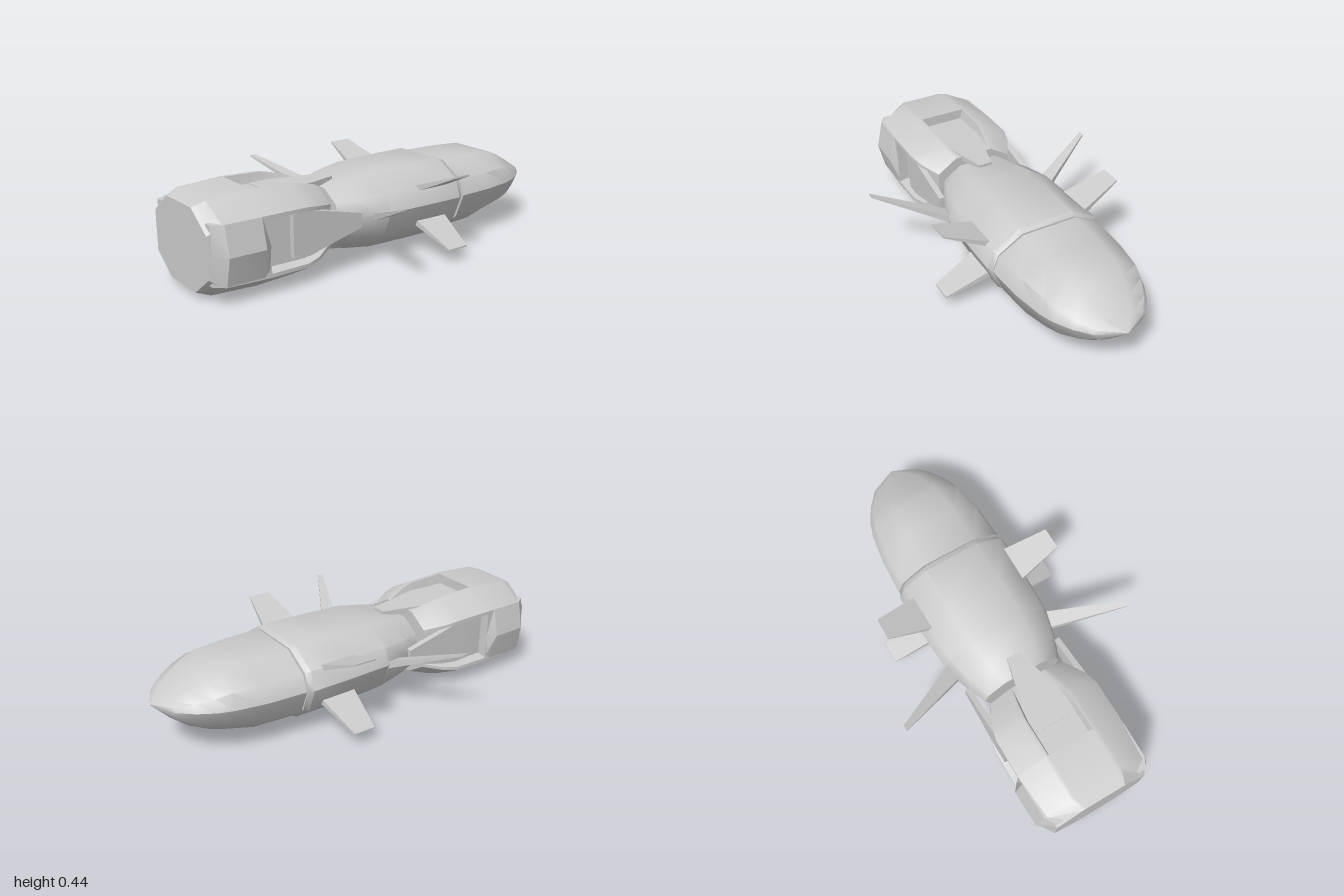
import * as THREE from 'three';
import { toCreasedNormals } from 'three/addons/utils/BufferGeometryUtils.js';

const material = new THREE.MeshStandardMaterial({ color: 0xcccccc });

// Closed solid through a list of rings (arrays of Vector3), turned to face outwards
function loft(rings, crease = 0.7) {
  const tris = [];
  const add = (a, b, c) => {
    const area = b.clone().sub(a).cross(c.clone().sub(a)).length();
    if (area > 1e-7) tris.push([a, b, c]);
  };
  const n = rings[0].length;
  for (let r = 0; r < rings.length - 1; r++) {
    for (let i = 0; i < n; i++) {
      const j = (i + 1) % n, p = rings[r], q = rings[r + 1];
      add(p[i], p[j], q[j]);
      add(p[i], q[j], q[i]);
    }
  }
  const cap = (ring, flip) => {
    const mid = ring.reduce((s, p) => s.add(p), new THREE.Vector3()).divideScalar(n);
    ring.forEach((p, i) => {
      const q = ring[(i + 1) % n];
      flip ? add(mid, q, p) : add(mid, p, q);
    });
  };
  cap(rings[0], true);
  cap(rings[rings.length - 1], false);
  const volume = tris.reduce((s, [a, b, c]) => s + a.dot(b.clone().cross(c)), 0);
  if (volume < 0) tris.forEach((t) => t.reverse());
  const geo = new THREE.BufferGeometry().setFromPoints(tris.flat());
  return toCreasedNormals(geo, crease);
}

const v = (x, y, z) => new THREE.Vector3(x, y, z);

// Faceted fuselage section with a side chine
const CHINE = [[0.47, 1], [0.9, 0.52], [1, 0], [0.83, -0.6], [0.45, -1]];
function bodyRing([z, hx, top, bottom, mid = 0.245]) {
  const half = CHINE.map(([fx, fy]) =>
    v(fx * hx, mid + (fy > 0 ? fy * (top - mid) : fy * (mid - bottom)), z));
  return [...half, ...half.map((p) => v(-p.x, p.y, z)).reverse()];
}

// Octagonal booster section whose four flat sides can be sunk by a depth
const AXIS_Y = 0.22;
function boosterRing([z, hx, hy, cx, cy, depth]) {
  const ring = [];
  for (let k = 0; k < 4; k++) {
    const [h, c] = k % 2 ? [hx, cy] : [hy, cx];
    const p = c * 0.87;
    for (const [u, w] of [[c, h], [p, h], [p * 0.9, h - depth], [-p * 0.9, h - depth], [-p, h], [-c, h]]) {
      const q = v(u, w, z).applyAxisAngle(v(0, 0, 1), k * Math.PI / 2);
      ring.push(q.setY(q.y + AXIS_Y));
    }
  }
  return ring;
}

// Tapered fin between a root and a tip chord: [x, y, zFront, zBack, halfThickness]
function fin(root, tip, side) {
  const quad = ([x, y, z0, z1, t]) =>
    [v(x, y + t, z0), v(x, y - t, z0), v(x, y - t, z1), v(x, y + t, z1)]
      .map((p) => p.setX(p.x * side));
  return loft([quad(root), quad(tip)], 0.3);
}

export function createModel() {
  const group = new THREE.Group();
  const add = (name, geo) => {
    const mesh = new THREE.Mesh(geo, material);
    mesh.name = name;
    group.add(mesh);
  };

  // Nose cone, narrowing to a point
  add('nose', loft([
    [-0.38, 0.292, 0.395, 0.045],
    [-0.57, 0.283, 0.392, 0.05],
    [-0.72, 0.258, 0.385, 0.085],
    [-0.79, 0.235, 0.355, 0.105],
    [-0.87, 0.19, 0.315, 0.14],
    [-0.94, 0.13, 0.278, 0.19],
    [-1.0, 0.003, 0.248, 0.242],
  ].map(bodyRing)));

  // Recessed joint behind the nose
  add('noseJoint', loft([
    [-0.34, 0.27, 0.375, 0.065],
    [-0.4, 0.27, 0.375, 0.065],
  ].map(bodyRing)));

  // Middle body, tapering towards the booster
  add('midBody', loft([
    [0.32, 0.205, 0.365, 0.07],
    [0.22, 0.25, 0.382, 0.055],
    [0.08, 0.288, 0.402, 0.038],
    [-0.14, 0.298, 0.407, 0.035],
    [-0.345, 0.302, 0.408, 0.035],
    [-0.37, 0.288, 0.395, 0.045],
  ].map(bodyRing)));

  // Booster with a pocket sunk into each flat side
  add('booster', loft([
    [1.0, 0.233, 0.188, 0.11, 0.095, 0],
    [0.94, 0.262, 0.21, 0.13, 0.135, 0],
    [0.72, 0.272, 0.22, 0.135, 0.14, 0],
    [0.719, 0.272, 0.22, 0.135, 0.14, 0.05],
    [0.53, 0.272, 0.212, 0.135, 0.138, 0.042],
    [0.46, 0.255, 0.197, 0.125, 0.125, 0.025],
    [0.36, 0.2, 0.165, 0.1, 0.1, 0],
  ].map(boosterRing), 0.6));

  // Tapered tongues reaching from the pockets over the middle body
  const tongue = new THREE.Shape([[0.1, 0.6], [0.105, 0.52], [0.035, 0.23],
    [-0.035, 0.23], [-0.105, 0.52], [-0.1, 0.6]].map(([x, y]) => new THREE.Vector2(x, y)));
  for (let k = 0; k < 4; k++) {
    const geo = new THREE.ExtrudeGeometry(tongue, { depth: 0.028, bevelEnabled: false });
    geo.rotateX(Math.PI / 2);
    geo.translate(0, k % 2 ? 0.262 : 0.174, 0);
    geo.rotateZ(k * Math.PI / 2);
    geo.translate(0, AXIS_Y + (k % 2 ? 0.015 : 0), 0);
    add('tongue', geo);
  }

  for (const side of [1, -1]) {
    // Ridged pod on the flank of the booster
    const pod = (z, ridge, edge) => [v(0.2, 0.36, z), v(edge, 0.36, z), v(ridge, 0.225, z),
      v(edge, 0.09, z), v(0.2, 0.09, z)].map((p) => p.setX(p.x * side));
    add('sidePod', loft([pod(0.985, 0.245, 0.235), pod(0.935, 0.3, 0.268),
      pod(0.76, 0.305, 0.272), pod(0.72, 0.272, 0.262)], 0.3));

    // Swept rear fins and the upper and lower front fins
    add('rearFin', fin([0.26, 0.235, 0.07, 0.16, 0.018], [0.6, 0.374, 0.26, 0.29, 0.004], side));
    add('upperFrontFin', fin([0.24, 0.317, -0.285, -0.1, 0.016], [0.465, 0.41, -0.24, -0.13, 0.004], side));
    add('lowerFrontFin', fin([0.24, 0.16, -0.285, -0.1, 0.016], [0.465, 0.064, -0.24, -0.13, 0.004], side));
  }

  // Slight yaw of the whole craft
  group.rotation.y = -0.018;
  return group;
}
